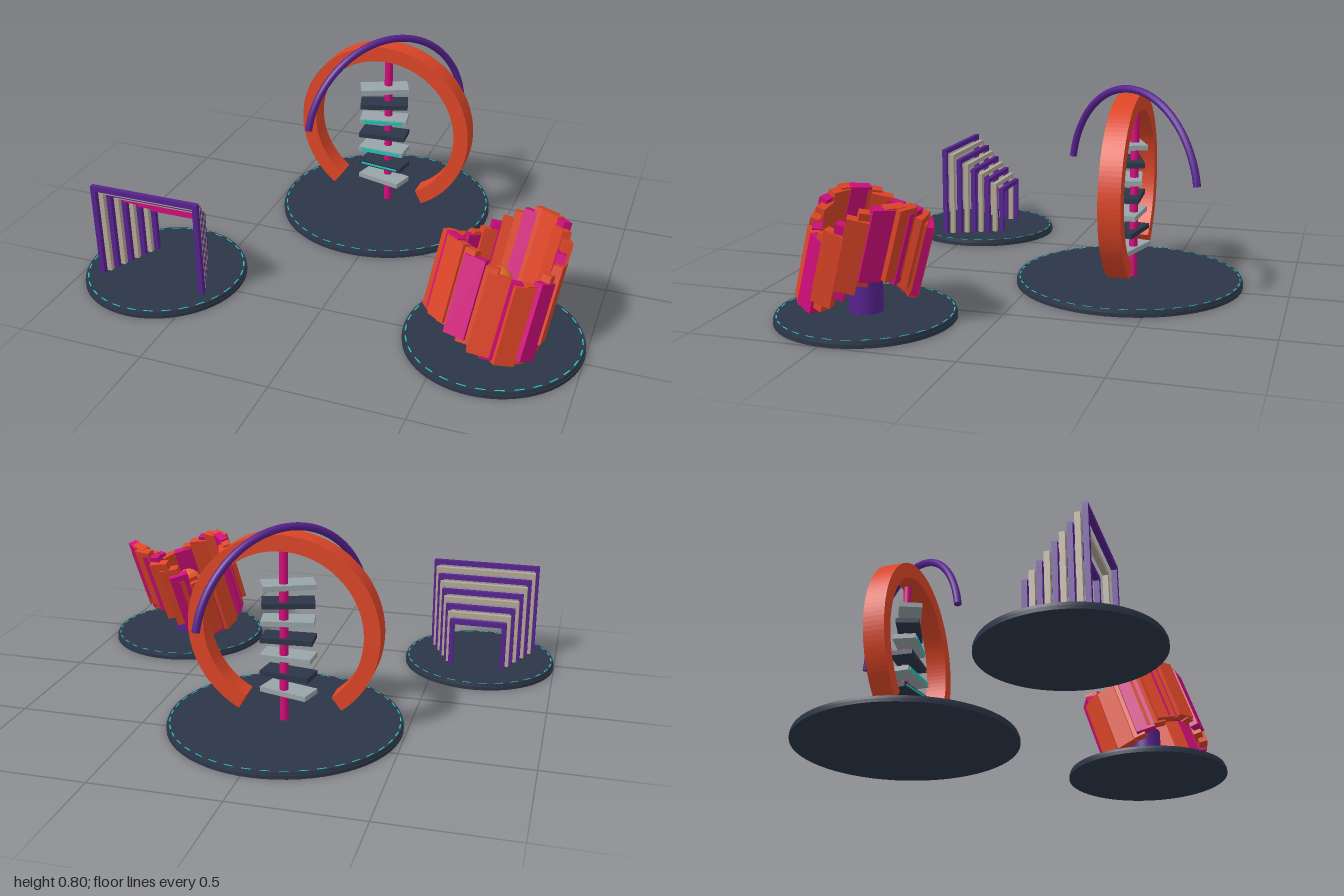
import * as THREE from 'three';

const mat = (name, color) => {
  const m = new THREE.MeshStandardMaterial({ color });
  m.name = name;
  return m;
};

export function createModel() {
  const navy = mat('navy', 0x2c3648);
  const orange = mat('orange', 0xdc4527);
  const magenta = mat('magenta', 0xd00d7a);
  const purple = mat('purple', 0x57228f);
  const beige = mat('beige', 0xb3a896);
  const grey = mat('grey', 0x98a4a8);
  const teal = mat('teal', 0x1cc4b8);
  const amber = mat('amber', 0xde6a2c);

  const model = new THREE.Group();
  const group = (name, x, z) => {
    const g = new THREE.Group();
    g.name = name;
    g.position.set(x, 0, z);
    model.add(g);
    return g;
  };
  const add = (parent, name, geo, material, x = 0, y = 0, z = 0) => {
    const m = new THREE.Mesh(geo, material);
    m.name = name;
    m.position.set(x, y, z);
    parent.add(m);
    return m;
  };
  const box = (w, h, d) => new THREE.BoxGeometry(w, h, d);

  // Round base with a stepped edge and a dashed teal inlay
  const base = (parent, r) => {
    add(parent, 'baseFoot', new THREE.CylinderGeometry(r, r, 0.014, 64), navy, 0, 0.007, 0);
    add(parent, 'baseTop', new THREE.CylinderGeometry(r - 0.005, r - 0.003, 0.012, 64), navy, 0, 0.02, 0);
    const n = Math.round(r * 90);
    for (let i = 0; i < n; i++) {
      const a = (i / n) * Math.PI * 2;
      const dash = add(parent, 'baseDash', box(0.005, 0.002, r * 3.2 / n), teal,
        Math.cos(a) * (r - 0.013), 0.0256, Math.sin(a) * (r - 0.013));
      dash.rotation.y = -a;
    }
  };

  // Central sculpture: open ring, post, twisting plates and crossing arch
  const centre = group('ringSculpture', -0.035, -0.362);
  base(centre, 0.455);

  const a0 = THREE.MathUtils.degToRad(-62);
  const a1 = THREE.MathUtils.degToRad(232);
  const ringShape = new THREE.Shape();
  ringShape.absarc(0, 0, 0.372, a0, a1, false);
  ringShape.absarc(0, 0, 0.31, a1, a0, true);
  const ringGeo = new THREE.ExtrudeGeometry(ringShape, { depth: 0.087, bevelEnabled: false, curveSegments: 48 });
  add(centre, 'openRing', ringGeo, orange, 0, 0.391, -0.038);

  add(centre, 'post', new THREE.CylinderGeometry(0.017, 0.017, 0.69, 20), magenta, 0, 0.37, -0.014);

  for (let i = 0; i < 7; i++) {
    const plate = new THREE.Group();
    plate.name = 'twistingPlate';
    plate.position.set(-0.012, 0.14 + i * 0.0705, 0.005);
    plate.rotation.y = THREE.MathUtils.degToRad(-15.5 + i * 6.5);
    centre.add(plate);
    add(plate, 'plate', box(0.2, 0.02, 0.095), i % 2 ? navy : grey);
    if (i === 1 || i === 2 || i === 4) {
      add(plate, 'plateTrim', box(0.17, i === 1 ? 0.007 : 0.014, 0.004), teal, 0, 0, 0.049);
    }
  }

  const sweep = THREE.MathUtils.degToRad(160);
  const archGeo = new THREE.TorusGeometry(0.39, 0.015, 12, 64, sweep);
  archGeo.rotateZ((Math.PI - sweep) / 2);
  const arch = add(centre, 'crossingArch', archGeo, purple, 0, 0.391, 0);
  arch.rotation.y = THREE.MathUtils.degToRad(51);
  for (const s of [-1, 1]) {
    const e = (10 * Math.PI) / 180;
    const cap = add(arch, 'archEnd', new THREE.CircleGeometry(0.015, 12), purple,
      s * 0.39 * Math.cos(e), 0.39 * Math.sin(e), 0);
    cap.rotation.set(Math.PI / 2, s * e, 0);
  }

  // Gate tunnel: nested frames shrinking toward the back
  const gates = group('gateTunnel', -0.68, 0.473);
  base(gates, 0.32);
  const bar = 0.02;
  for (let i = 0; i < 9; i++) {
    const colour = i % 2 ? beige : purple;
    const w = 0.455 - i * 0.027;
    const top = 0.417 - i * 0.0235;
    const z = 0.117 - i * 0.0295;
    add(gates, 'gateLintel', box(w, bar, bar), colour, 0, top - bar / 2, z);
    const h = top - bar - 0.024;
    for (const s of [-1, 1]) {
      add(gates, 'gateLeg', box(bar, h, bar), colour, s * (w - bar) / 2, 0.024 + h / 2, z);
    }
    // Magenta strip along the front of the inner purple lintels
    if (i >= 4 && i % 2 === 0) {
      add(gates, 'lintelStrip', box(w - bar, 0.012, 0.008), magenta, 0, top - 0.014, z + bar / 2 + 0.004);
    }
  }

  // Plank crown: leaning planks in a wavy circle around a pedestal and ball
  const crown = group('plankCrown', 0.665, 0.473);
  base(crown, 0.335);
  add(crown, 'pedestal', new THREE.CylinderGeometry(0.063, 0.063, 0.18, 32), purple, 0, 0.115, 0);
  add(crown, 'ball', new THREE.SphereGeometry(0.058, 32, 20), amber, 0, 0.255, 0);

  const lean = new THREE.Quaternion().setFromEuler(new THREE.Euler(-0.31, 0, -0.15));
  const up = new THREE.Vector3(0, 1, 0);
  const planks = 30;
  const plankGeo = box(0.035, 0.29, 0.08);
  for (let i = 0; i < planks; i++) {
    const a = (i / planks) * Math.PI * 2;
    const y = 0.264 + 0.064 * Math.cos(2 * (a + Math.PI / 4));
    const r = i % 2 ? 0.203 : 0.193;
    const plank = add(crown, 'plank', plankGeo, i % 3 === 0 ? magenta : orange,
      Math.cos(a) * r, y, Math.sin(a) * r);
    const yaw = new THREE.Quaternion().setFromAxisAngle(up, -a + 0.15);
    plank.quaternion.copy(lean).multiply(yaw);
  }

  return model;
}
